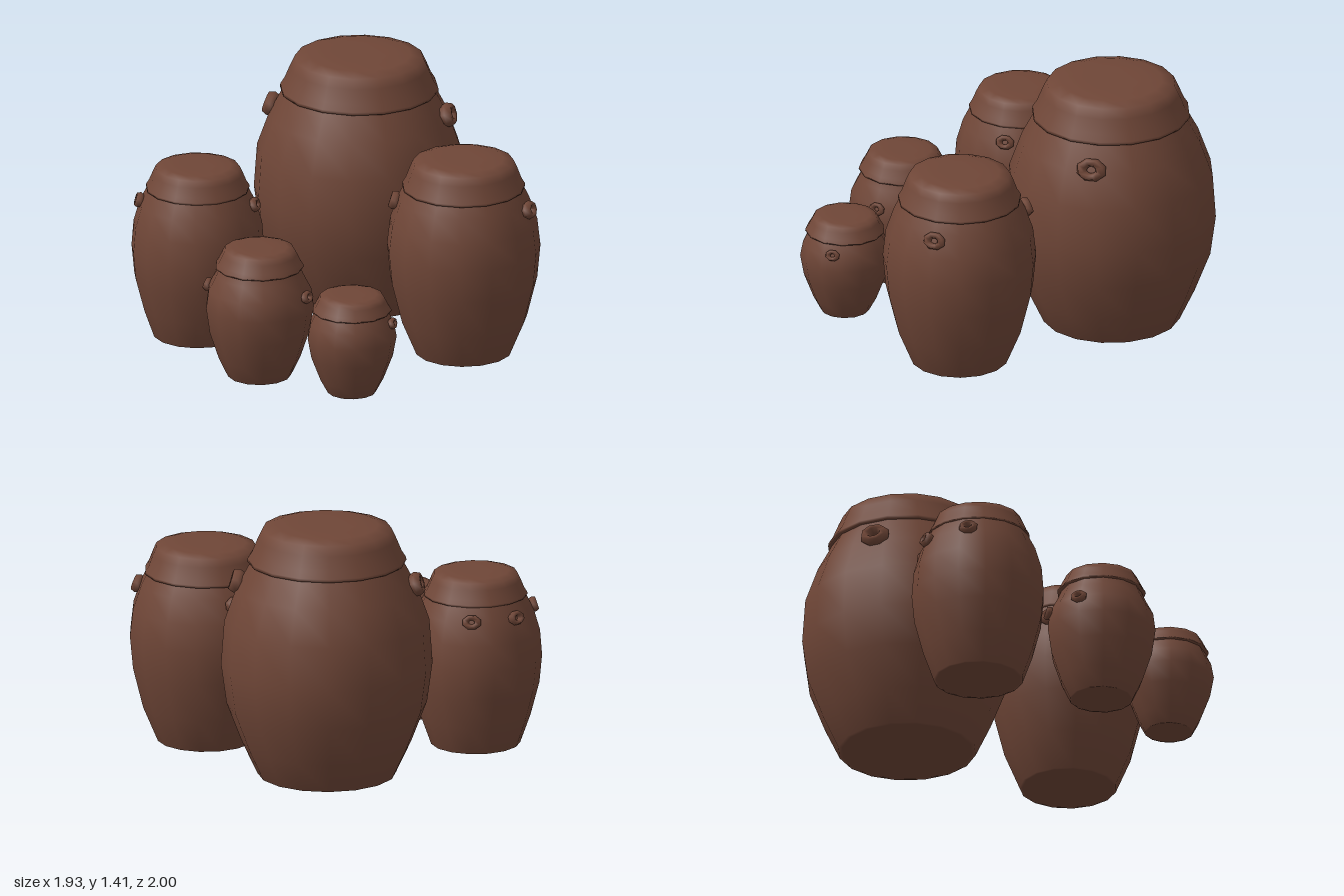
import * as THREE from 'three';

const clay = new THREE.MeshStandardMaterial({ color: 0x6f4637 });
clay.name = 'brown clay';

// body: [radius, y] from foot to neck; lid: rim radius, rim y, top radius, top y
const JARS = [
  { name: 'largestJar', x: -0.4, z: -0.435, sides: 16, lug: 0.072, lugY: 1.09,
    body: [[0.37, 0.03], [0.45, 0.2], [0.535, 0.42], [0.565, 0.64], [0.548, 0.88], [0.48, 1.07], [0.4, 1.22]],
    lid: [0.425, 1.21, 0.345, 1.415], lugs: [[-0.03, -0.75], [-0.77, -0.14]] },
  { name: 'largeJar', x: 0.555, z: -0.36, sides: 15, lug: 0.055, lugY: 0.85,
    body: [[0.26, 0.01], [0.34, 0.2], [0.395, 0.42], [0.412, 0.6], [0.395, 0.75], [0.35, 0.88], [0.31, 0.96]],
    lid: [0.33, 0.94, 0.27, 1.105], lugs: [[0.19, -0.5], [0.88, -0.56], [0.27, -0.08]] },
  { name: 'mediumJar', x: -0.55, z: 0.565, sides: 15, lug: 0.045, lugY: 0.77,
    body: [[0.24, 0.015], [0.295, 0.17], [0.342, 0.35], [0.356, 0.5], [0.345, 0.64], [0.31, 0.76], [0.26, 0.86]],
    lid: [0.278, 0.84, 0.225, 0.975], lugs: [[-0.76, 0.31], [-0.28, 0.36], [-0.87, 0.55], [-0.76, 0.81]] },
  { name: 'smallJar', x: 0.13, z: 0.705, sides: 13, lug: 0.04, lugY: 0.49,
    body: [[0.17, 0.005], [0.22, 0.11], [0.27, 0.26], [0.29, 0.4], [0.277, 0.5], [0.235, 0.58], [0.21, 0.64]],
    lid: [0.238, 0.62, 0.188, 0.735], lugs: [[-0.15, 0.59], [-0.11, 0.87], [0.42, 0.58]] },
  { name: 'smallestJar', x: 0.665, z: 0.51, sides: 13, lug: 0.035, lugY: 0.42,
    body: [[0.13, 0.015], [0.17, 0.09], [0.22, 0.22], [0.24, 0.33], [0.225, 0.41], [0.195, 0.47], [0.18, 0.5]],
    lid: [0.213, 0.475, 0.17, 0.57], lugs: [[0.86, 0.37]] },
];

function lathe(name, points, sides) {
  const geometry = new THREE.LatheGeometry(points.map(([r, y]) => new THREE.Vector2(r, y)), sides);
  const mesh = new THREE.Mesh(geometry, clay);
  mesh.name = name;
  return mesh;
}

// Radius of the body wall at a height
function wallRadius(body, y) {
  for (let i = 1; i < body.length; i++) {
    const [r0, y0] = body[i - 1], [r1, y1] = body[i];
    if (y <= y1) return r0 + (r1 - r0) * (y - y0) / (y1 - y0);
  }
  return body[body.length - 1][0];
}

// Squarish ring lug whose opening faces outward
function makeLug(size) {
  const geometry = new THREE.TorusGeometry(size * 0.72, size * 0.4, 6, 8);
  geometry.rotateZ(Math.PI / 8);
  geometry.scale(1.05, 0.8, 1.3);
  const mesh = new THREE.Mesh(geometry, clay);
  mesh.name = 'lug';
  return mesh;
}

function makeJar({ name, x, z, sides, lug, lugY, body, lid, lugs }) {
  const jar = new THREE.Group();
  jar.name = name;
  jar.position.set(x, 0, z);

  // Closed foot and bulging wall
  const [footR, footY] = body[0];
  jar.add(lathe('body', [[0, footY], [footR * 0.94, footY], ...body], sides));

  // Flared rim, sloping shoulder and shallow domed top
  const [rimR, rimY, topR, topY] = lid;
  const h = topY - rimY;
  jar.add(lathe('lid', [
    [0, rimY + h * 0.05], [rimR * 0.9, rimY + h * 0.02], [rimR, rimY], [rimR * 0.995, rimY + h * 0.08],
    [rimR * 0.94, rimY + h * 0.26], [topR + (rimR - topR) * 0.3, rimY + h * 0.62],
    [topR, rimY + h * 0.87], [topR * 0.8, topY - h * 0.03], [topR * 0.45, topY], [0, topY],
  ], sides));

  // Lugs around the shoulder
  for (const [lx, lz] of lugs) {
    const angle = Math.atan2(lx - x, lz - z);
    const radius = wallRadius(body, lugY) + lug * 0.15;
    const mesh = makeLug(lug);
    mesh.position.set(Math.sin(angle) * radius, lugY, Math.cos(angle) * radius);
    mesh.rotation.set(-0.3, angle, 0, 'YXZ');
    jar.add(mesh);
  }
  return jar;
}

export function createModel() {
  const group = new THREE.Group();
  group.name = 'clayJars';
  for (const spec of JARS) group.add(makeJar(spec));
  return group;
}
